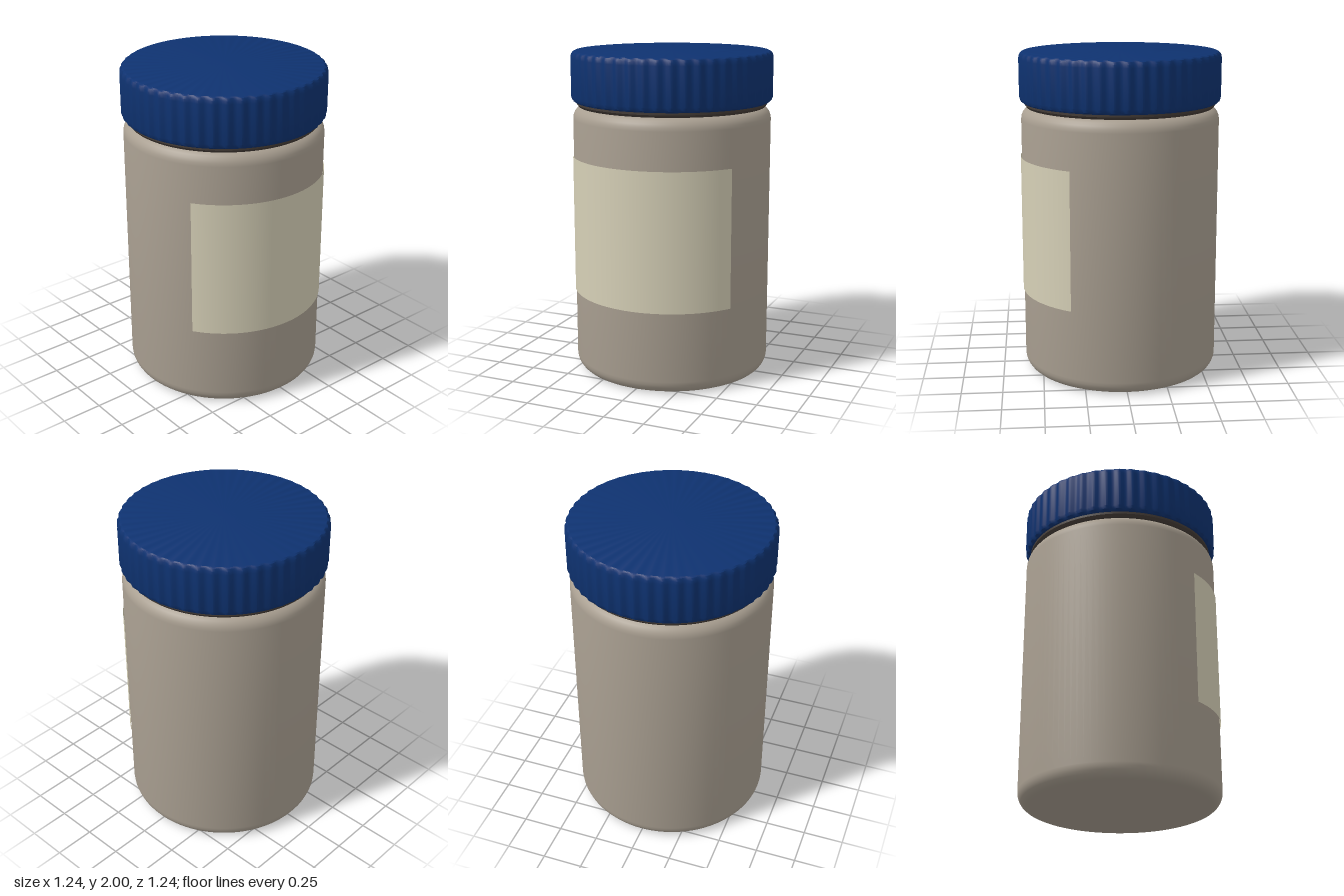
import * as THREE from 'three';
import { toCreasedNormals } from 'three/addons/utils/BufferGeometryUtils.js';

const mat = (name, color) => {
  const m = new THREE.MeshStandardMaterial({ color });
  m.name = name;
  return m;
};

// Surface of revolution from [radius, height] pairs, listed bottom to top
const lathe = (profile, segments) =>
  new THREE.LatheGeometry(profile.map(([r, y]) => new THREE.Vector2(r, y)), segments);

// Quarter-round corner between two angles
function fillet(cx, cy, rx, ry, from, to, steps = 6) {
  const pts = [];
  for (let i = 0; i <= steps; i++) {
    const a = from + ((to - from) * i) / steps;
    pts.push([cx + rx * Math.cos(a), cy + ry * Math.sin(a)]);
  }
  return pts;
}

export function createModel() {
  const bodyMat = mat('taupe body', 0xa99f91);
  const lidMat = mat('navy lid', 0x0e3270);
  const labelMat = mat('cream label', 0xd6d0b7);
  const sealMat = mat('dark seal', 0x443c37);
  labelMat.side = THREE.DoubleSide;

  const group = new THREE.Group();
  group.name = 'jar';
  const add = (name, geometry, material) => {
    const mesh = new THREE.Mesh(geometry, material);
    mesh.name = name;
    group.add(mesh);
  };

  // Body with rounded base and shoulder
  const body = lathe([
    [0, 0],
    ...fillet(0.54, 0.08, 0.07, 0.08, -Math.PI / 2, 0),
    ...fillet(0.53, 1.59, 0.08, 0.08, 0, Math.PI / 2),
    [0, 1.67],
  ], 96);
  add('body', toCreasedNormals(body, 0.6), bodyMat);

  // Seal ring between shoulder and lid
  const seal = lathe([[0.5, 1.665], [0.575, 1.665], [0.587, 1.68], [0.587, 1.71]], 96);
  add('sealRing', toCreasedNormals(seal, 0.6), sealMat);

  // Lid with a fluted side wall; the flat top stays round
  const flutes = 48;
  const lid = lathe([
    [0, 1.695], [0.598, 1.695], [0.613, 1.705], [0.62, 1.725], [0.62, 1.96],
    [0.617, 1.98], [0.608, 1.994], [0.595, 2], [0, 2],
  ], flutes * 6);
  const p = lid.attributes.position;
  for (let i = 0; i < p.count; i++) {
    const x = p.getX(i), z = p.getZ(i), r = Math.hypot(x, z);
    if (r < 0.6) continue;
    const depth = 0.012 * Math.min(1, (r - 0.595) / 0.02);
    const k = 1 - (depth * (0.5 - 0.5 * Math.cos(flutes * Math.atan2(x, z)))) / r;
    p.setX(i, x * k);
    p.setZ(i, z * k);
  }
  add('lid', toCreasedNormals(lid, 0.5), lidMat);

  // Wrapped front label
  const label = new THREE.CylinderGeometry(0.617, 0.617, 0.85, 48, 1, true, -1, 2);
  label.translate(0, 0.935, 0);
  add('label', label, labelMat);

  return group;
}
